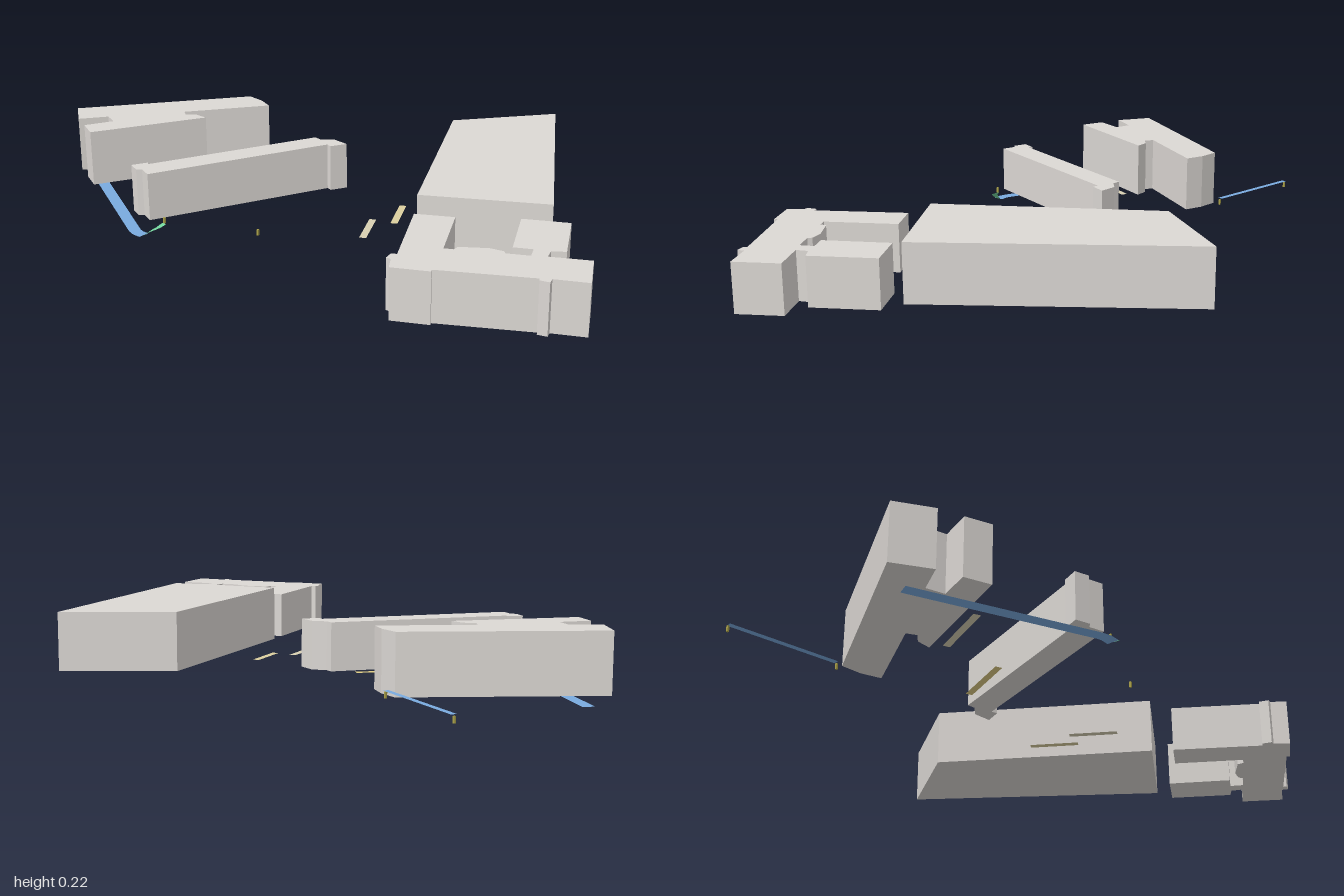
import * as THREE from 'three';

export function createModel() {
  const model = new THREE.Group();
  const mat = (name, color, side = THREE.FrontSide) =>
    Object.assign(new THREE.MeshStandardMaterial({ color, side }), { name });
  const stone = mat('warm grey', 0xdcd8d4);
  const water = mat('path blue', 0x7aabdf, THREE.DoubleSide);
  const green = mat('ramp green', 0x72d39b, THREE.DoubleSide);
  const yellow = mat('strip yellow', 0xe0cd83, THREE.DoubleSide);
  const cream = mat('strip cream', 0xdccf9f, THREE.DoubleSide);
  const beige = mat('strip beige', 0xd8d0b2, THREE.DoubleSide);
  const olive = mat('post olive', 0xa89f48);

  const add = (name, geometry, material) => {
    const mesh = new THREE.Mesh(geometry, material);
    mesh.name = name;
    model.add(mesh);
    return mesh;
  };

  // Building: footprint of [x, z] corners raised between two heights
  const building = (name, top, corners) => {
    const base = 0.04;
    const shape = new THREE.Shape(corners.map(([x, z]) => new THREE.Vector2(x, -z)));
    const g = new THREE.ExtrudeGeometry(shape, { depth: top - base, bevelEnabled: false });
    g.rotateX(-Math.PI / 2).translate(0, base, 0);
    add(name, g, stone);
  };

  // Ribbon: flat band of a given width along [x, y, z] points
  const ribbon = (name, material, width, pts) => {
    const pos = [], idx = [];
    pts.forEach(([x, y, z], i) => {
      const a = pts[Math.max(i - 1, 0)], b = pts[Math.min(i + 1, pts.length - 1)];
      const dx = b[0] - a[0], dz = b[2] - a[2], k = width / 2 / Math.hypot(dx, dz);
      pos.push(x + dz * k, y, z - dx * k, x - dz * k, y, z + dx * k);
      if (i) idx.push(2 * i - 2, 2 * i - 1, 2 * i, 2 * i - 1, 2 * i + 1, 2 * i);
    });
    const g = new THREE.BufferGeometry();
    g.setAttribute('position', new THREE.Float32BufferAttribute(pos, 3));
    g.setIndex(idx);
    g.computeVertexNormals();
    // Face the ribbon upward
    if (g.attributes.normal.getY(0) < 0) {
      g.setIndex(idx.reverse());
      g.computeVertexNormals();
    }
    add(name, g, material);
  };

  building('largeHall', 0.216, [[-0.25, 0.37], [0.385, 0.085], [0.643, 0.32], [-0.095, 0.712]]);

  building('backBlock', 0.216, [
    [-0.24, -1], [0.205, -0.625], [0.19, -0.56], [0.16, -0.505], [-0.06, -0.685],
    [-0.08, -0.66], [-0.06, -0.63], [-0.065, -0.585], [-0.395, -0.775],
    [-0.355, -0.845], [-0.27, -0.8], [-0.245, -0.85], [-0.32, -0.91],
  ]);

  building('narrowBlock', 0.186, [
    [-0.48, -0.51], [-0.435, -0.485], [-0.445, -0.475], [0.054, -0.225], [0.048, -0.2],
    [0.072, -0.162], [0.06, -0.104], [0.012, -0.132], [0.02, -0.15], [-0.51, -0.413],
    [-0.49, -0.455], [-0.5, -0.47],
  ]);

  building('wingedBlock', 0.186, [
    [-0.645, 0.55], [-0.6, 0.525], [-0.6, 0.51], [-0.57, 0.505], [-0.565, 0.52],
    [-0.31, 0.4], [-0.265, 0.505], [-0.465, 0.595], [-0.455, 0.62], [-0.435, 0.62],
    [-0.395, 0.69], [-0.39, 0.73], [-0.4, 0.74], [-0.375, 0.8], [-0.335, 0.785],
    [-0.355, 0.735], [-0.17, 0.655], [-0.118, 0.78], [-0.3, 0.862], [-0.32, 0.827],
    [-0.355, 0.837], [-0.31, 0.943], [-0.435, 1], [-0.47, 0.912], [-0.49, 0.917],
    [-0.495, 0.89], [-0.485, 0.885], [-0.595, 0.645], [-0.605, 0.65],
  ]);

  // Low path, with a curved ramp climbing from its end
  ribbon('lowPath', water, 0.036, [[-0.237, 0, -0.93], [-0.525, 0, -0.465], [-0.534, 0, -0.445], [-0.537, 0, -0.415]]);
  const rampCurve = new THREE.CatmullRomCurve3([
    new THREE.Vector3(-0.537, 0, -0.415), new THREE.Vector3(-0.534, 0.016, -0.393),
    new THREE.Vector3(-0.521, 0.029, -0.372), new THREE.Vector3(-0.502, 0.039, -0.361),
  ]);
  ribbon('ramp', green, 0.02, rampCurve.getPoints(10).map((p) => p.toArray()));

  // Raised walkway and small posts
  ribbon('walkway', water, 0.017, [[0.233, 0.062, -0.618], [0.334, 0.062, -0.942]]);
  for (const [x, z] of [[0.232, -0.617], [0.334, -0.943], [-0.41, -0.076], [-0.502, -0.361]]) {
    add('post', new THREE.BoxGeometry(0.006, 0.018, 0.006), olive).position.set(x, 0.049, z);
  }

  // Ground strips: [x1, z1, x2, z2, height, material]
  for (const [x1, z1, x2, z2, y, material] of [
    [-0.278, -0.668, -0.108, -0.566, 0.04, beige], [-0.16, -0.386, 0.01, -0.285, 0.04, yellow],
    [-0.232, 0.17, -0.097, 0.11, 0.032, beige], [-0.087, 0.18, 0.05, 0.119, 0.032, cream],
  ]) ribbon('groundStrip', material, 0.021, [[x1, y, z1], [x2, y, z2]]);

  return model;
}
